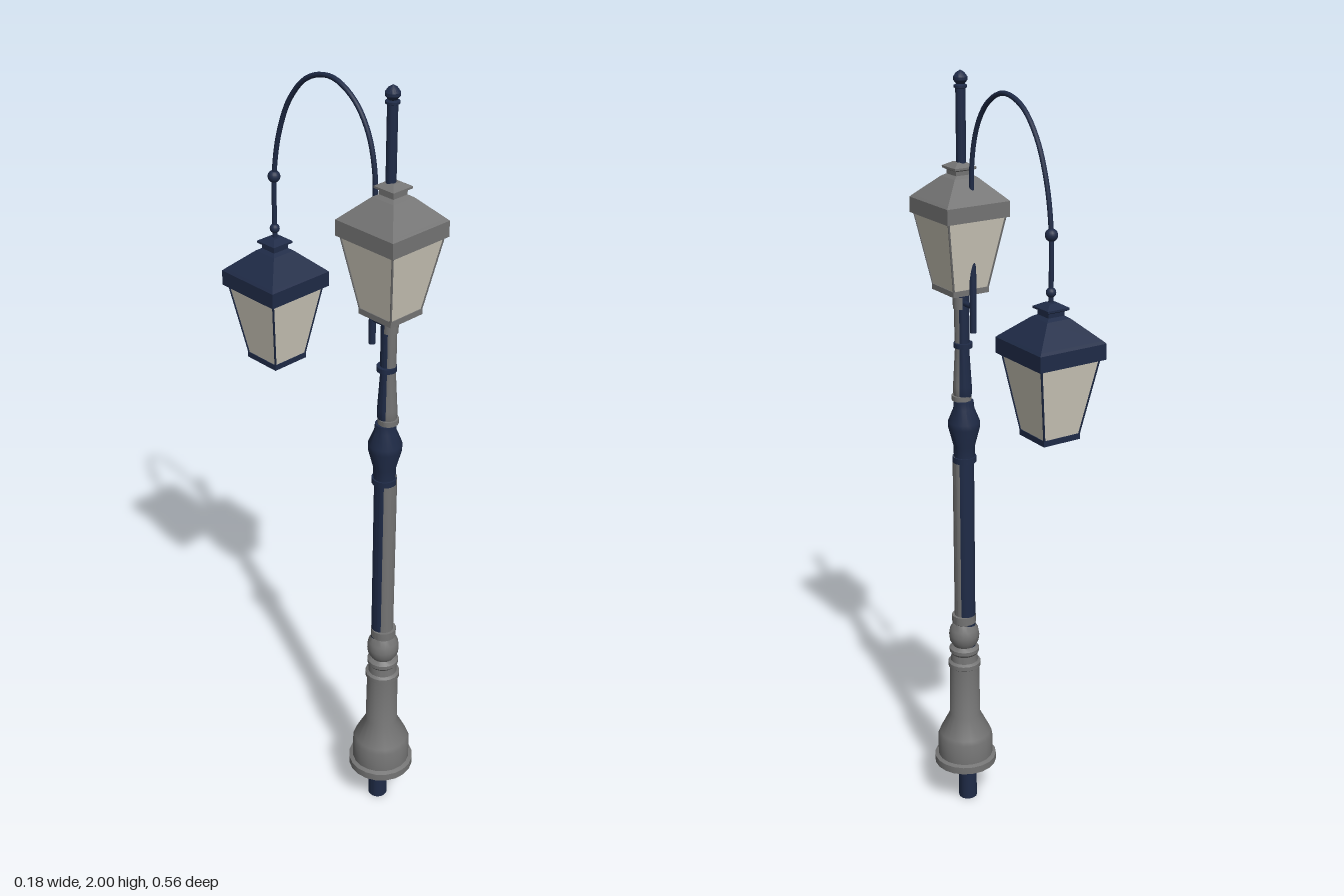
import * as THREE from 'three';
import { toCreasedNormals } from 'three/addons/utils/BufferGeometryUtils.js';

export function createModel() {
  const model = new THREE.Group();
  model.name = 'streetLamp';
  const material = (name, color) => {
    const m = new THREE.MeshStandardMaterial({ color });
    m.name = name;
    return m;
  };
  const navy = material('navy paint', 0x1f2b47);
  const grey = material('grey paint', 0x747474);
  const glass = material('cream glass', 0xd2cdbf);

  const add = (parent, name, geometry, mat, x = 0, y = 0, z = 0) => {
    const mesh = new THREE.Mesh(geometry, mat);
    mesh.name = name;
    mesh.position.set(x, y, z);
    parent.add(mesh);
    return mesh;
  };
  // Round turned profile, listed from bottom to top as [radius, height]
  const turned = (points) => toCreasedNormals(
    new THREE.LatheGeometry(points.map(([r, y]) => new THREE.Vector2(r, y)), 20), 0.6);
  // Square profile, listed as [half width, height]
  const square = (points) => {
    const g = new THREE.LatheGeometry(
      points.map(([r, y]) => new THREE.Vector2(r * Math.SQRT2, y)), 4).rotateY(Math.PI / 4).toNonIndexed();
    g.computeVertexNormals();
    return g;
  };

  // Two slightly offset posts: navy behind, grey in front
  const navyPost = new THREE.Group();
  navyPost.name = 'navyPost';
  navyPost.position.set(-0.001, 0, 0.19);
  const greyPost = new THREE.Group();
  greyPost.name = 'greyPost';
  greyPost.position.set(0.0025, 0, 0.195);
  model.add(navyPost, greyPost);

  const upperShaft = [[0.016, 1.18], [0.021, 1.2], [0.021, 1.22], [0.015, 1.32], [0.016, 1.34], [0.016, 1.48], [0, 1.48]];
  add(navyPost, 'column', turned([[0, 0], [0.025, 0], [0.025, 1.03], [0, 1.03]]), navy);
  add(navyPost, 'upperShaft', turned(upperShaft), navy);
  add(navyPost, 'collar', turned([[0, 1.015], [0.031, 1.015], [0.031, 1.03], [0.027, 1.03], [0.028, 1.06],
    [0.041, 1.11], [0.041, 1.125], [0.027, 1.16], [0.025, 1.18], [0, 1.18]]), navy);
  add(navyPost, 'shaftRing', turned([[0, 1.322], [0.024, 1.322], [0.024, 1.334], [0, 1.334]]), navy);
  add(navyPost, 'topRod', turned([[0, 1.46], [0.012, 1.46], [0.012, 1.955], [0.016, 1.957], [0.016, 1.962],
    [0.01, 1.965], [0.017, 1.974], [0.017, 1.981], [0.01, 1.991], [0, 1.997]]), navy);

  add(greyPost, 'column', turned([[0, 0.13], [0.025, 0.13], [0.025, 1.03], [0, 1.03]]), grey);
  add(greyPost, 'upperShaft', turned(upperShaft), grey);
  add(greyPost, 'neckRing', turned([[0, 1.182], [0.025, 1.182], [0.025, 1.195], [0, 1.195]]), grey);
  add(greyPost, 'base', turned([[0, 0.118], [0.085, 0.118], [0.085, 0.138], [0.075, 0.142], [0.075, 0.2],
    [0.07, 0.212], [0.042, 0.268], [0.04, 0.415], [0.044, 0.418], [0.044, 0.43], [0.037, 0.435],
    [0.035, 0.455], [0.04, 0.462], [0.04, 0.472], [0.03, 0.48], [0.039, 0.495], [0.041, 0.512],
    [0.038, 0.53], [0.028, 0.547], [0.032, 0.55], [0.032, 0.572], [0, 0.572]]), grey);

  // Square lantern with its origin at the bottom of the eaves
  const addLantern = (name, x, y, z, half, depth, paint) => {
    const lantern = new THREE.Group();
    lantern.name = name;
    lantern.position.set(x, y, z);
    model.add(lantern);
    add(lantern, 'roof', square([[0, 0], [half, 0], [half, 0.038], [half - 0.006, 0.044],
      [0.032, 0.092], [0.022, 0.098], [0.022, 0.108], [0.03, 0.112], [0.03, 0.117], [0.012, 0.127], [0, 0.127]]), paint);
    add(lantern, 'panes', square([[0.049, -depth], [0.08, 0]]), glass);
    add(lantern, 'tray', square([[0, -depth - 0.014], [0.051, -depth - 0.014], [0.051, -depth], [0, -depth]]), paint);
    for (const sx of [-1, 1]) for (const sz of [-1, 1]) {
      const bar = new THREE.LineCurve3(
        new THREE.Vector3(sx * 0.049, -depth, sz * 0.049), new THREE.Vector3(sx * 0.08, 0, sz * 0.08));
      add(lantern, 'cornerBar', new THREE.TubeGeometry(bar, 1, 0.0025, 6), paint);
    }
  };
  addLantern('postLantern', 0.0025, 1.656, 0.194, 0.088, 0.175, grey);
  addLantern('hangingLantern', 0, 1.402, -0.191, 0.091, 0.183, navy);

  // Curved arm with its bracket
  const path = [[1.46, 0.14], [1.62, 0.14], [1.79, 0.14], [1.88, 0.115], [1.938, 0.07], [1.967, 0.005],
    [1.948, -0.07], [1.885, -0.13], [1.79, -0.17], [1.69, -0.188], [1.62, -0.19], [1.53, -0.19]];
  const curve = new THREE.CatmullRomCurve3(path.map(([y, z]) => new THREE.Vector3(0, y, z)));
  add(model, 'arm', new THREE.TubeGeometry(curve, 72, 0.006, 10), navy);
  add(model, 'armStub', turned([[0, 1.372], [0.008, 1.372], [0.009, 1.5], [0.006, 1.58], [0, 1.58]]), navy, 0, 0, 0.14);
  add(model, 'bracket', new THREE.CylinderGeometry(0.007, 0.007, 0.055, 12).rotateX(Math.PI / 2), navy, 0, 1.437, 0.165);
  add(model, 'bracketClamp', new THREE.CylinderGeometry(0.019, 0.019, 0.03, 20), grey, 0.0025, 1.437, 0.195);

  // Beads on the hanging rod
  add(model, 'upperBead', new THREE.SphereGeometry(0.015, 16, 12), navy, 0, 1.683, -0.189);
  add(model, 'lowerBead', new THREE.SphereGeometry(0.012, 16, 12), navy, 0, 1.552, -0.19);
  return model;
}
